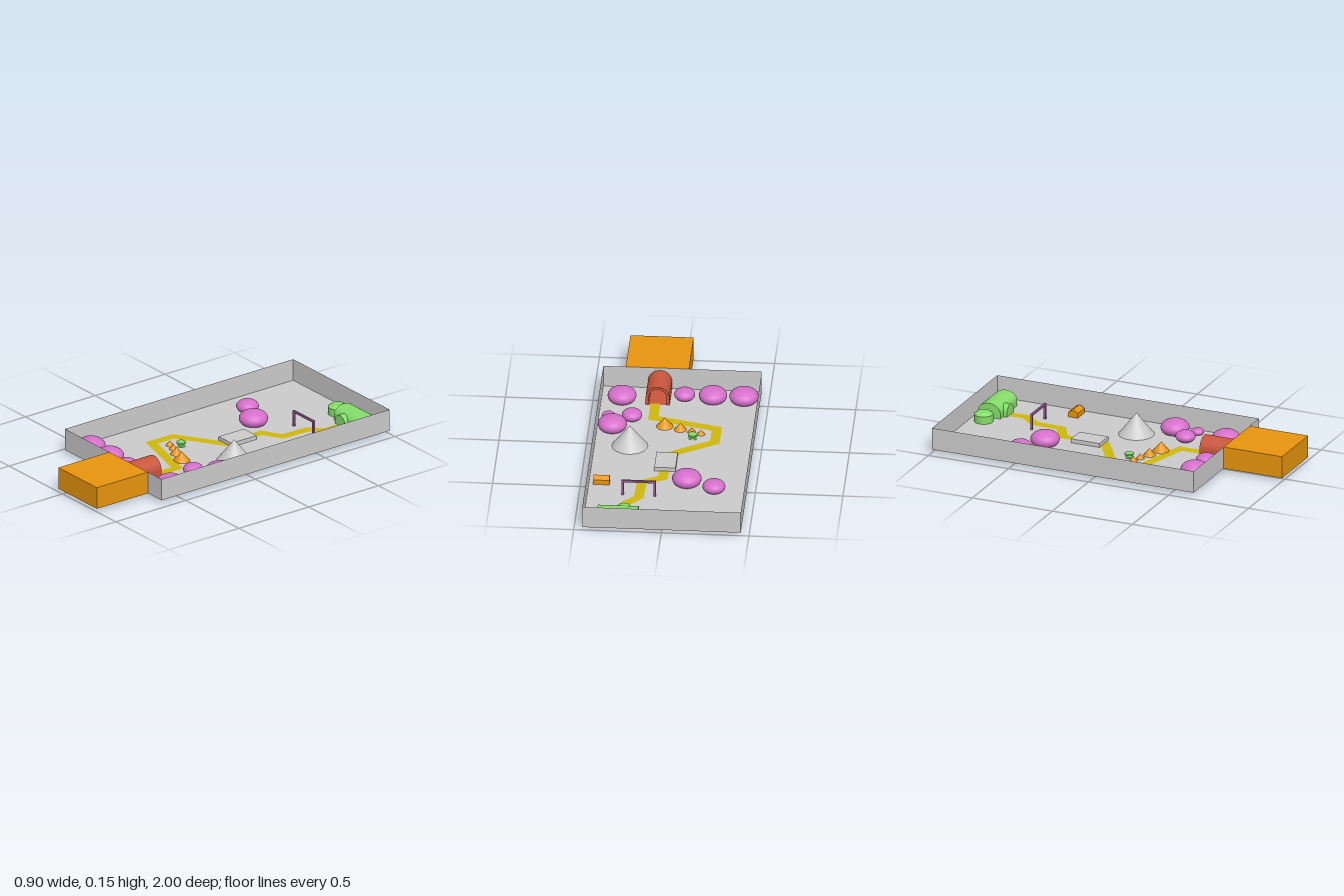
import * as THREE from 'three';

const mat = (color, side = THREE.FrontSide) =>
  new THREE.MeshStandardMaterial({ color, side });
const GREY = mat(0xcccccc);
const GREY2 = mat(0xcccccc, THREE.DoubleSide);
const ORANGE = mat(0xe8950e);
const PINK = mat(0xd66fcb);
const GREEN = mat(0x85dd6a);
const RED = mat(0xc9563c);
const PURPLE = mat(0x9a5a94);
const YELLOW = mat(0xd0b80a, THREE.DoubleSide);
const FLOOR = 0.021;

export function createModel() {
  const model = new THREE.Group();

  const add = (name, geo, material, x = 0, y = 0, z = 0) => {
    const m = new THREE.Mesh(geo, material);
    m.name = name;
    m.position.set(x, y, z);
    model.add(m);
    return m;
  };
  // Box given by its x, y and z ranges
  const box = (name, material, [x0, x1], [y0, y1], [z0, z1]) =>
    add(name, new THREE.BoxGeometry(x1 - x0, y1 - y0, z1 - z0), material,
      (x0 + x1) / 2, (y0 + y1) / 2, (z0 + z1) / 2);
  // Arched outline: straight sides up to `wall`, then a rounded top
  const arch = (Type, r, wall, rise) => {
    const s = new Type();
    s.moveTo(-r, 0);
    s.lineTo(r, 0);
    s.lineTo(r, wall);
    s.absellipse(0, wall, r, rise, 0, Math.PI, false, 0);
    s.lineTo(-r, 0);
    return s;
  };
  const extrude = (shape, depth) =>
    new THREE.ExtrudeGeometry(shape, { depth, bevelEnabled: false, curveSegments: 10 });

  // Tray: floor and four thin walls
  const X0 = -0.453, X1 = 0.451, Z0 = -1, Z1 = 0.635, H = 0.131;
  const cx = (X0 + X1) / 2, cz = (Z0 + Z1) / 2, cy = FLOOR + H / 2;
  add('trayFloor', new THREE.PlaneGeometry(X1 - X0, Z1 - Z0), GREY2, cx, FLOOR, cz)
    .rotation.x = -Math.PI / 2;
  for (const z of [Z0, Z1])
    add('trayEndWall', new THREE.PlaneGeometry(X1 - X0, H), GREY2, cx, cy, z);
  for (const x of [X0, X1])
    add('traySideWall', new THREE.PlaneGeometry(Z1 - Z0, H), GREY2, x, cy, cz)
      .rotation.y = Math.PI / 2;

  // Entrance block in front of the tray
  box('entranceBlock', ORANGE, [-0.038, 0.323], [FLOOR, FLOOR + H], [Z1, 1]);

  // Entrance tunnel with a rounded roof and a floor plate
  const tunnel = arch(THREE.Shape, 0.068, 0.05, 0.066);
  tunnel.holes.push(arch(THREE.Path, 0.05, 0.05, 0.05));
  add('tunnel', extrude(tunnel, 0.194), RED, 0.127, FLOOR - 0.001, 0.44);
  box('tunnelFloor', RED, [0.06, 0.194], [FLOOR - 0.001, FLOOR + 0.001], [0.44, 0.634]);

  // Winding path: flat mitred strip
  const path = [[0.225, -0.81], [0.23, -0.72], [0.156, -0.635], [0.15, -0.465],
    [0.035, -0.4], [0.035, -0.14], [-0.23, 0.03], [-0.23, 0.185], [0.14, 0.285],
    [0.14, 0.45]].map(p => new THREE.Vector2(...p));
  const left = [], right = [];
  path.forEach((p, i) => {
    const a = p.clone().sub(path[Math.max(i - 1, 0)]).normalize();
    const b = path[Math.min(i + 1, path.length - 1)].clone().sub(p).normalize();
    const t = a.clone().add(b).normalize();
    const n = new THREE.Vector2(-t.y, t.x);
    const ref = i ? a : b;
    const k = 0.028 / Math.abs(n.dot(new THREE.Vector2(-ref.y, ref.x)));
    left.push(p.clone().addScaledVector(n, k));
    right.push(p.clone().addScaledVector(n, -k));
  });
  const strip = new THREE.Shape(
    [...left, ...right.reverse()].map(p => new THREE.Vector2(p.x, -p.y)));
  add('path', new THREE.ShapeGeometry(strip), YELLOW, 0, FLOOR + 0.002, 0)
    .rotation.x = -Math.PI / 2;

  // Flattened round bushes: x, z, radius
  for (const [x, z, r, y = 0.052] of [
    [-0.36, 0.52, 0.083], [-0.183, 0.52, 0.081], [-0.022, 0.52, 0.06],
    [0.333, 0.483, 0.082], [0.364, 0.15, 0.083], [0.26, 0.262, 0.058],
    [0.394, 0.277, 0.037, 0.035], [-0.266, -0.53, 0.065], [-0.105, -0.45, 0.084]]) {
    add('bush', new THREE.SphereGeometry(r, 32, 20), PINK, x, y, z).scale.y = 0.6;
  }

  // Upright cones: x, z, radius, height
  const cone = (name, material, x, z, r, h) =>
    add(name, new THREE.ConeGeometry(r, h, 32), material, x, FLOOR + h / 2 - 0.002, z);
  cone('hill', GREY, 0.25, -0.04, 0.104, 0.132);
  cone('largeCone', ORANGE, 0.068, 0.197, 0.05, 0.058);
  cone('mediumCone', ORANGE, -0.023, 0.165, 0.037, 0.045);
  cone('smallCone', ORANGE, -0.09, 0.138, 0.025, 0.032);
  cone('smallCone', ORANGE, -0.144, 0.12, 0.025, 0.032);

  // Small round table with a waist
  const table = [[0, 0], [0.026, 0], [0.026, 0.006], [0.018, 0.01], [0.018, 0.02],
    [0.027, 0.022], [0.027, 0.03], [0, 0.03]].map(p => new THREE.Vector2(...p));
  const tableGeo = new THREE.LatheGeometry(table, 20).toNonIndexed();
  tableGeo.computeVertexNormals();
  add('roundTable', tableGeo, GREEN, -0.1, FLOOR - 0.004, 0.073);

  // Low platform across the path
  box('platform', GREY, [-0.031, 0.09], [FLOOR, 0.045], [-0.323, -0.143]);

  // Gate: two posts and a crossbar
  for (const x of [0.066, 0.249])
    box('gatePost', PURPLE, [x - 0.006, x + 0.006], [FLOOR, 0.115], [-0.616, -0.604]);
  box('gateBar', PURPLE, [0.06, 0.255], [0.105, 0.117], [-0.616, -0.604]);

  // Little hut with a gable roof, ridge along x
  const hut = new THREE.Shape([[-0.03, 0], [0.03, 0], [0.03, 0.03], [0, 0.048], [-0.03, 0.03]]
    .map(p => new THREE.Vector2(...p)));
  add('hut', extrude(hut, 0.092), ORANGE, 0.333, FLOOR - 0.001, -0.474)
    .rotation.y = Math.PI / 2;

  // Vaulted house with an arched porch
  add('house', extrude(arch(THREE.Shape, 0.07, 0.035, 0.05), 0.232), GREEN, 0.139, FLOOR, -0.91)
    .rotation.y = Math.PI / 2;
  add('porch', extrude(arch(THREE.Shape, 0.045, 0.025, 0.04), 0.08), GREEN, 0.225, FLOOR, -0.897);

  // Round tower with a sloped cap
  add('tower', new THREE.CylinderGeometry(0.055, 0.055, 0.045, 32), GREEN, 0.075, FLOOR + 0.0225, -0.915);
  add('towerCap', new THREE.CylinderGeometry(0.032, 0.055, 0.016, 32), GREEN, 0.075, FLOOR + 0.053, -0.915);

  return model;
}
